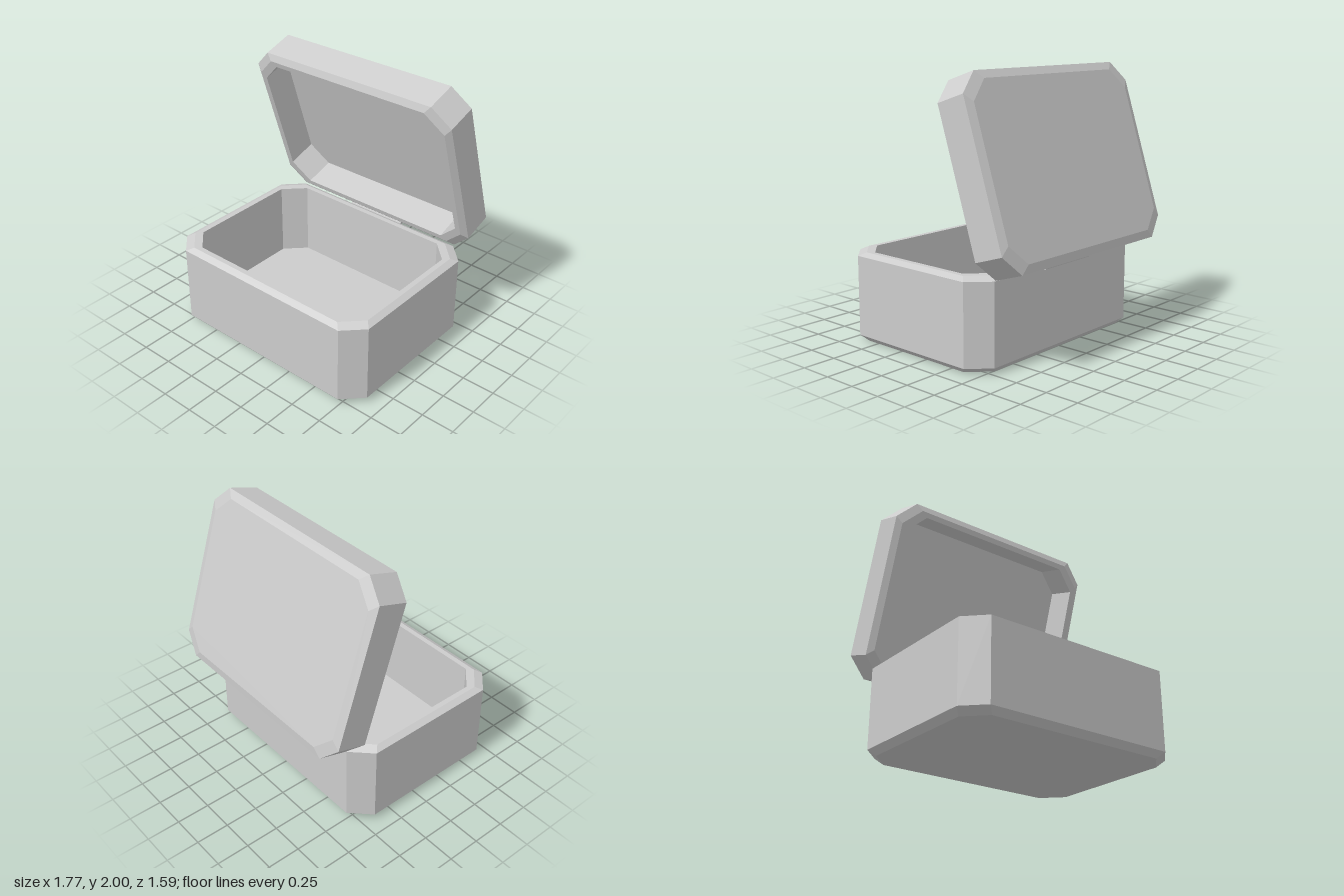
import * as THREE from 'three';

const HALF_X = 0.885, HALF_Z = 0.6725;
const material = new THREE.MeshStandardMaterial({ color: 0xcccccc, flatShading: true });

// Rectangle with cut corners, pulled in by an inset, at height y
function octagon(inset, y, cut) {
  const x = HALF_X - inset, z = HALF_Z - inset;
  return [
    [x, z - cut], [x, cut - z], [x - cut, -z], [cut - x, -z],
    [-x, cut - z], [-x, z - cut], [cut - x, z], [x - cut, z],
  ].map(([px, pz]) => [px, y, pz]);
}

// Hollow tray: octagon rings run up the outside, over the rim and down to the inner floor
function tray(profile) {
  const rings = profile.map(([inset, y, cut = 0.145]) => octagon(inset, y, cut));
  const positions = [];
  const tri = (a, b, c) => positions.push(...a, ...b, ...c);
  for (let r = 0; r < rings.length - 1; r++) {
    const lower = rings[r], upper = rings[r + 1];
    for (let i = 0; i < 8; i++) {
      const j = (i + 1) % 8;
      tri(lower[i], lower[j], upper[j]);
      tri(lower[i], upper[j], upper[i]);
    }
  }
  // Underside and inner floor
  const under = rings[0], floor = rings[rings.length - 1];
  for (let i = 1; i < 7; i++) {
    tri(under[0], under[i + 1], under[i]);
    tri(floor[0], floor[i], floor[i + 1]);
  }
  const geometry = new THREE.BufferGeometry();
  geometry.setAttribute('position', new THREE.Float32BufferAttribute(positions, 3));
  geometry.computeVertexNormals();
  return geometry;
}

export function createModel() {
  const group = new THREE.Group();
  const add = (name, geometry) => {
    const mesh = new THREE.Mesh(geometry, material);
    mesh.name = name;
    group.add(mesh);
    return mesh;
  };

  // Box body: profile points are [inset, height, corner cut]
  const body = add('boxBody', tray([
    [0.045, 0], [0, 0.045], [0, 0.64], [0.045, 0.665],
    [0.085, 0.665, 0.15], [0.085, 0.08, 0.15],
  ]));
  body.position.z = 0.1225;

  // Open lid, a shallow tray leaning back 18 degrees
  const lid = add('lid', tray([
    [0.06, 0], [0, 0.02], [0, 0.26], [0.045, 0.29],
    [0.085, 0.29, 0.15], [0.085, 0.05, 0.15],
  ]));
  lid.rotation.x = THREE.MathUtils.degToRad(108);
  lid.position.set(0, 1.368, -0.601);

  // Hinge pin between body and lid
  const hinge = add('hingePin', new THREE.CylinderGeometry(0.015, 0.015, 0.49, 8));
  hinge.rotation.z = Math.PI / 2;
  hinge.position.set(0, 0.638, -0.567);

  return group;
}
